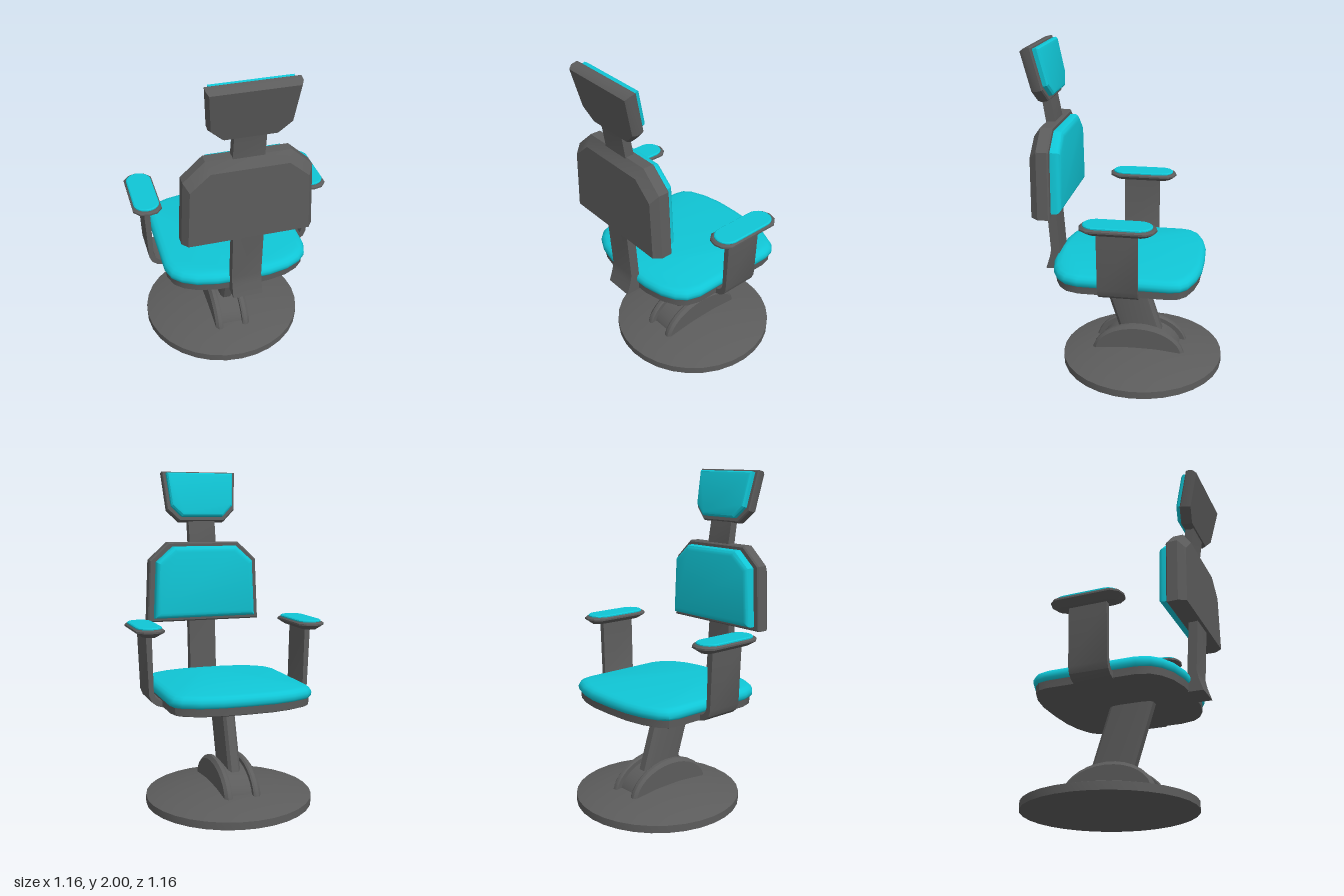
import * as THREE from 'three';
import { toCreasedNormals } from 'three/addons/utils/BufferGeometryUtils.js';

const frameMat = new THREE.MeshStandardMaterial({ color: 0x5c5c5c });
const padMat = new THREE.MeshStandardMaterial({ color: 0x10c6d6 });

// Mirror the right half of an outline (bottom to top) to close it
const mirror = (half) => [...half, ...half.filter(([x]) => x > 0).reverse().map(([x, y]) => [-x, y])];

// Stack a convex outline along z; each step is [z, inset, shiftY]
function slab(outline, steps) {
  const xs = outline.map((p) => p[0]), ys = outline.map((p) => p[1]);
  const cx = (Math.max(...xs) + Math.min(...xs)) / 2, hx = Math.max(...xs) - cx;
  const cy = (Math.max(...ys) + Math.min(...ys)) / 2, hy = Math.max(...ys) - cy;
  const n = outline.length, pos = [], index = [];
  for (const [z, inset = 0, shift = 0] of steps)
    for (const [x, y] of outline)
      pos.push(cx + (x - cx) * (1 - inset / hx), cy + (y - cy) * (1 - inset / hy) + shift, z);
  for (let s = 0; s < steps.length - 1; s++)
    for (let i = 0; i < n; i++) {
      const a = s * n + i, b = s * n + (i + 1) % n;
      index.push(a, b, b + n, a, b + n, a + n);
    }
  const top = (steps.length - 1) * n;
  for (let i = 1; i < n - 1; i++) index.push(0, i + 1, i, top, top + i, top + i + 1);
  const g = new THREE.BufferGeometry();
  g.setAttribute('position', new THREE.Float32BufferAttribute(pos, 3));
  g.setIndex(index);
  return g;
}

// Extrude a side profile of [a, y] points, centred on its depth
function extrude(points, depth) {
  const shape = new THREE.Shape(points.map(([x, y]) => new THREE.Vector2(x, y)));
  return new THREE.ExtrudeGeometry(shape, { depth, bevelEnabled: false }).translate(0, 0, -depth / 2);
}

function part(parent, name, geometry, material = frameMat, crease = 0.5) {
  const m = new THREE.Mesh(toCreasedNormals(geometry, crease), material);
  m.name = name;
  parent.add(m);
  return m;
}

// Outline with half-round ends
function stadium(hw, hl, seg = 8) {
  const half = [];
  for (const s of [-1, 1])
    for (let i = 0; i <= seg; i++) {
      const t = (i / seg) * Math.PI / 2, u = s < 0 ? t : Math.PI / 2 - t;
      half.push([i === (s < 0 ? 0 : seg) ? 0 : hw * Math.sin(u), s * (hl - hw + hw * Math.cos(u))]);
    }
  return mirror(half);
}

function addBase(chair) {
  // Shallow domed disc
  const profile = [[0, 0], [0.505, 0], [0.505, 0.045], [0.43, 0.067], [0.3, 0.092], [0.15, 0.11], [0, 0.115]];
  const disc = new THREE.LatheGeometry(profile.map(([x, y]) => new THREE.Vector2(x, y)), 32);
  part(chair, 'baseDisc', disc.translate(0, 0, -0.075));

  // Arched housing: two cheeks with a lower arch between them
  const arch = (r, h) => Array.from({ length: 17 }, (_, i) => {
    const a = (i / 16) * Math.PI;
    return [r * Math.cos(a), 0.05 + h * Math.sin(a)];
  });
  const place = (g) => g.rotateY(Math.PI / 2).translate(0, 0, -0.06);
  part(chair, 'housingCore', place(slab(arch(0.26, 0.185), [[-0.07, 0], [0.07, 0]])));
  for (const s of [-1, 1]) {
    const steps = [[0.065, 0.008], [0.075, 0], [0.095, 0], [0.112, 0.022]];
    const run = s > 0 ? steps : steps.map(([d, i]) => [-d, i]).reverse();
    part(chair, 'housingCheek', place(slab(arch(0.295, 0.217), run)));
  }

  // Leaning flat column
  const section = mirror([[0.022, -0.135], [0.038, -0.115], [0.045, -0.07],
    [0.045, 0.07], [0.038, 0.115], [0.022, 0.135]]);
  part(chair, 'column', slab(section, [[0.1, 0, 0.1], [0.63, 0, -0.07]]).rotateX(-Math.PI / 2));
}

function addSeat(chair) {
  const outline = mirror([[0, -0.45], [0.16, -0.445], [0.28, -0.42], [0.36, -0.38], [0.41, -0.33],
    [0.435, -0.25], [0.435, 0.29], [0.42, 0.35], [0.38, 0.39], [0.28, 0.43], [0.16, 0.453], [0, 0.458]]);
  part(chair, 'seatPan', slab(outline, [[0.615, 0.03], [0.622, 0.015], [0.675, 0.012]]).rotateX(-Math.PI / 2));
  const cushion = [[0.66, 0.025], [0.667, 0.01], [0.68, 0.001], [0.7, 0], [0.717, 0.007], [0.729, 0.022], [0.735, 0.045]];
  part(chair, 'seatCushion', slab(outline, cushion).rotateX(-Math.PI / 2), padMat, 0.8);
}

function addArm(chair, s) {
  const arm = new THREE.Group();
  arm.name = s > 0 ? 'leftArm' : 'rightArm';
  // Curved upright that starts under the seat
  const bracket = [[0.34, 0.617], [0.42, 0.617], [0.455, 0.628], [0.485, 0.652], [0.5, 0.69], [0.515, 1.05],
    [0.48, 1.05], [0.472, 0.71], [0.462, 0.68], [0.44, 0.66], [0.41, 0.652], [0.34, 0.652]];
  const upright = extrude(bracket.map(([x, y]) => [s * x, y]), 0.23);
  part(arm, 'armUpright', upright);

  // Rest: chamfered tray with a thin pad
  const tray = mirror([[0, -0.212], [0.05, -0.2], [0.083, -0.16], [0.083, 0.17], [0.05, 0.21], [0, 0.224]]);
  const lay = (g) => g.rotateX(-Math.PI / 2).translate(s * 0.498, 0, 0);
  part(arm, 'armTray', lay(slab(tray, [[1.04, 0.04], [1.05, 0.025], [1.068, 0], [1.078, 0], [1.087, 0.01]])));
  const pad = lay(slab(stadium(0.074, 0.196), [[1.08, 0], [1.093, 0], [1.098, 0.006]])).translate(0, 0, -0.005);
  part(arm, 'armPad', pad, padMat);
  chair.add(arm);
}

function addBack(chair) {
  // Spine from under the seat to the headrest
  const spine = [[0.52, 0.615], [0.495, 0.69], [0.485, 0.74], [0.505, 1.05], [0.485, 1.55], [0.51, 1.72],
    [0.46, 1.72], [0.43, 1.55], [0.45, 1.05], [0.43, 0.74], [0.43, 0.615]];
  part(chair, 'spine', extrude(spine.map(([z, y]) => [-z, y]), 0.176).rotateY(Math.PI / 2));

  // Backrest shell and cushion
  const shell = mirror([[0.375, 1.045], [0.357, 1.44], [0.235, 1.552]]);
  part(chair, 'backShell', slab(shell, [[0.41, 0.008], [0.418, 0], [0.48, 0], [0.523, 0.03, -0.027]]));
  const cushion = mirror([[0.337, 1.072], [0.32, 1.43], [0.21, 1.527]]);
  part(chair, 'backCushion', slab(cushion, [[0.35, 0.035], [0.354, 0.018], [0.365, 0.005], [0.378, 0], [0.415, 0]]), padMat);

  // Tilted headrest
  const head = new THREE.Group();
  head.name = 'headrest';
  head.position.set(0, 1.68, 0.475);
  head.rotation.x = 0.227;
  const headShell = mirror([[0.15, 0], [0.226, 0.075], [0.246, 0.322]]);
  part(head, 'headShell', slab(headShell, [[-0.032, 0.006], [-0.024, 0], [0.012, 0], [0.036, 0.012]]));
  const headCushion = mirror([[0.135, 0.025], [0.203, 0.093], [0.222, 0.308]]);
  part(head, 'headCushion', slab(headCushion, [[-0.07, 0.022], [-0.066, 0.009], [-0.056, 0], [-0.028, 0]]), padMat);
  chair.add(head);
}

export function createModel() {
  const chair = new THREE.Group();
  chair.name = 'chair';
  addBase(chair);
  addSeat(chair);
  for (const s of [-1, 1]) addArm(chair, s);
  addBack(chair);
  return chair;
}
